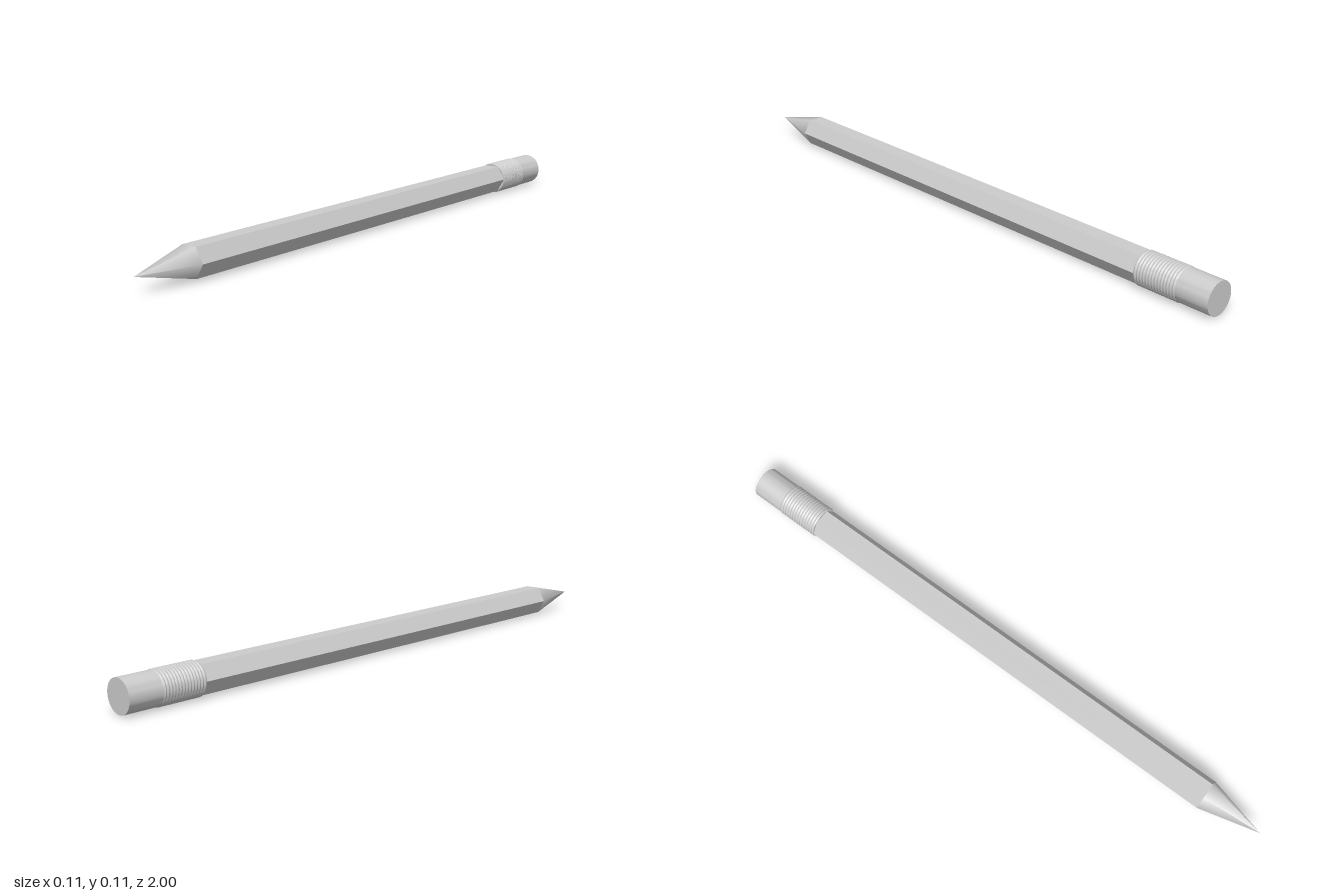
import * as THREE from 'three';
import { toCreasedNormals } from 'three/addons/utils/BufferGeometryUtils.js';

const AXIS_Y = 0.0545; // height of the pencil's centre line
const SIDES = 32;

export function createModel() {
  const group = new THREE.Group();
  group.name = 'pencil';
  const material = new THREE.MeshStandardMaterial({ color: 0xcccccc });

  // Geometries are made along +y, then laid down so +y becomes +z
  const add = (name, geometry, z) => {
    geometry.rotateX(Math.PI / 2);
    const mesh = new THREE.Mesh(geometry, material);
    mesh.name = name;
    mesh.position.set(0, AXIS_Y, z);
    group.add(mesh);
  };
  // Six-sided parts, turned so two corners point along x
  const hex = (top, bottom, length, open) =>
    new THREE.CylinderGeometry(top, bottom, length, 6, 1, open).rotateY(Math.PI / 2);

  // Hexagonal wooden body
  add('body', toCreasedNormals(hex(0.052, 0.052, 1.56, false), 0.5), 0.02);

  // Sharpened tip, shaded smoothly round
  add('tip', hex(0, 0.052, 0.2, true), 0.9);

  // Ribbed metal sleeve: closed profile with zigzag ridges
  const ribs = 14;
  const length = 0.145;
  const profile = [new THREE.Vector2(0, 0)];
  for (let i = 0; i <= ribs * 2; i++) {
    profile.push(new THREE.Vector2(i % 2 ? 0.0545 : 0.0525, (i / (ribs * 2)) * length));
  }
  profile.push(new THREE.Vector2(0, length));
  add('ferrule', toCreasedNormals(new THREE.LatheGeometry(profile, SIDES), 0.5), -0.89);

  // Eraser at the back end
  const eraser = new THREE.CylinderGeometry(0.0525, 0.0525, 0.12, SIDES);
  add('eraser', toCreasedNormals(eraser, 0.5), -0.94);

  return group;
}
